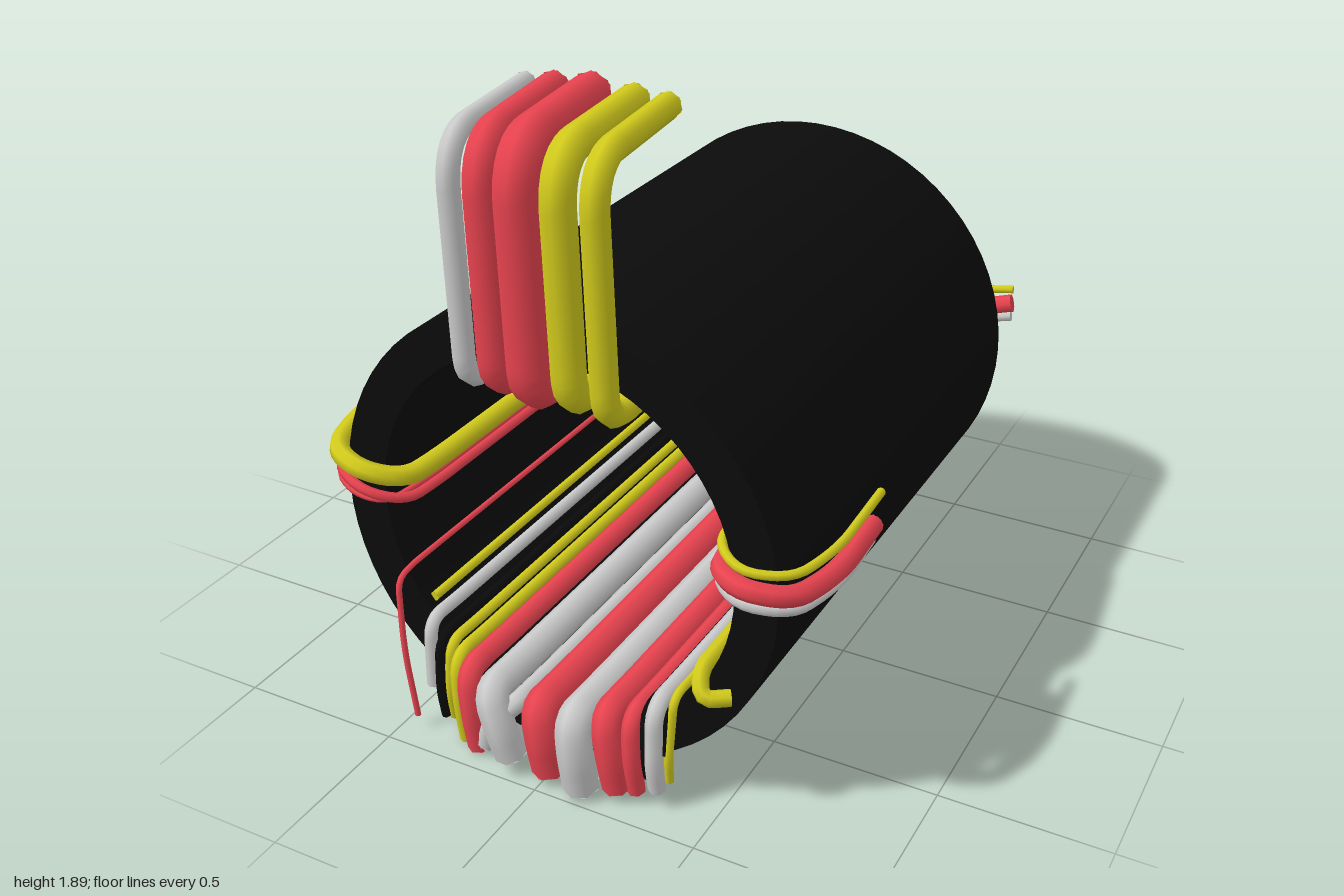
import * as THREE from 'three';
import { mergeGeometries } from 'three/addons/utils/BufferGeometryUtils.js';

const CX = -0.02, CY = 0.73, R_OUT = 0.675, R_IN = 0.55, Z_FRONT = 0.83, Z_BACK = -0.86;
const material = (color) => new THREE.MeshStandardMaterial({ color, side: THREE.DoubleSide });
const MATS = {
  black: material(0x0b0b0b),
  red: material(0xe8434f),
  yellow: material(0xd2cb1c),
  grey: material(0xcccccc),
};

// Straight runs joined by rounded corners
function roundedPath(points, bend) {
  const p = points.map((a) => new THREE.Vector3(...a));
  const path = new THREE.CurvePath();
  let from = p[0];
  for (let i = 1; i < p.length - 1; i++) {
    const toPrev = p[i - 1].clone().sub(p[i]), toNext = p[i + 1].clone().sub(p[i]);
    const d = Math.min(bend, toPrev.length() * 0.48, toNext.length() * 0.48);
    const a = p[i].clone().add(toPrev.setLength(d));
    const b = p[i].clone().add(toNext.setLength(d));
    path.add(new THREE.LineCurve3(from, a));
    path.add(new THREE.QuadraticBezierCurve3(a, p[i], b));
    from = b;
  }
  path.add(new THREE.LineCurve3(from, p[p.length - 1]));
  return path;
}

// Six-sided cable with closed ends
function cable(name, color, radius, points, bend = 0.12) {
  const path = roundedPath(points, bend);
  const parts = [new THREE.TubeGeometry(path, 100, radius, 7)];
  for (const [t, sign] of [[0, -1], [1, 1]]) {
    const dir = path.getTangentAt(t).multiplyScalar(sign);
    const cap = new THREE.CircleGeometry(radius, 7);
    cap.applyQuaternion(new THREE.Quaternion().setFromUnitVectors(new THREE.Vector3(0, 0, 1), dir));
    const end = path.getPointAt(t);
    cap.translate(end.x, end.y, end.z);
    parts.push(cap);
  }
  const mesh = new THREE.Mesh(mergeGeometries(parts), MATS[color]);
  mesh.name = name;
  return mesh;
}

// Height of a cable resting against the bore (side: 1 roof, -1 floor)
const boreY = (x, r, side) => CY + side * Math.sqrt((R_IN - r) ** 2 - (x - CX) ** 2);

function makePipe() {
  const ring = new THREE.Shape().absarc(0, 0, R_OUT, 0, Math.PI * 2);
  ring.holes.push(new THREE.Path().absarc(0, 0, R_IN, 0, Math.PI * 2, true));
  const geo = new THREE.ExtrudeGeometry(ring, { depth: Z_FRONT - Z_BACK, bevelEnabled: false, curveSegments: 32 });
  const pipe = new THREE.Mesh(geo, MATS.black);
  pipe.position.set(CX, CY, Z_BACK);
  pipe.name = 'pipe';
  return pipe;
}

// Cables that leave the roof of the bore, climb and fold back over the pipe
function makeRoofCables() {
  const group = new THREE.Group();
  group.name = 'roofCables';
  const rows = [ // color, radius, x outside, x at the mouth
    ['grey', 0.031, -0.315, -0.225], ['red', 0.046, -0.225, -0.13], ['red', 0.06, -0.11, -0.025],
    ['yellow', 0.047, 0.02, 0.092], ['yellow', 0.038, 0.12, 0.195],
  ];
  for (const [color, r, xTop, x] of rows) {
    const y = boreY(x, r, 1) - 0.02;
    group.add(cable('roofCable', color, r, [
      [xTop, 1.85, 0.41], [x - 0.02, 1.85, 0.885], [x, y - 0.01, 0.885], [x, y, 0.7], [x, y + 0.015, Z_BACK - 0.012],
    ], 0.14));
  }
  return group;
}

// Cables on the floor of the bore that droop over the front rim
function makeFloorCables() {
  const group = new THREE.Group();
  group.name = 'floorCables';
  const rows = [ // color, radius, x in the bore, x at the tip, y of the tip, z of the droop
    ['grey', 0.02, -0.41, -0.40, 0.17, 0.88], ['black', 0.014, -0.375, -0.37, 0.07, 0.89],
    ['yellow', 0.016, -0.35, -0.355, 0.06, 0.87], ['yellow', 0.02, -0.315, -0.295, 0.02, 0.90],
    ['red', 0.035, -0.26, -0.235, 0.03, 0.92], ['black', 0.02, -0.225, -0.20, 0.11, 0.87],
    ['grey', 0.048, -0.17, -0.105, 0.07, 0.95], ['grey', 0.03, -0.10, -0.20, 0.06, 0.93],
    ['red', 0.053, -0.02, 0.01, 0.05, 0.93], ['black', 0.018, 0.05, 0.055, 0.10, 0.88],
    ['grey', 0.053, 0.10, 0.12, 0.04, 0.945], ['red', 0.043, 0.18, 0.215, 0.05, 0.91],
    ['yellow', 0.013, 0.23, 0.255, 0.16, 0.88], ['red', 0.027, 0.255, 0.27, 0.05, 0.90],
    ['black', 0.02, 0.295, 0.30, 0.10, 0.88], ['grey', 0.026, 0.325, 0.33, 0.07, 0.89],
    ['yellow', 0.013, 0.365, 0.35, 0.08, 0.855], ['black', 0.012, 0.345, 0.34, 0.2, 0.86],
  ];
  for (const [color, r, x, xTip, yTip, z] of rows) {
    const y = boreY(x, r, -1);
    group.add(cable('floorCable', color, r, [
      [x, y, Z_BACK - 0.01], [x, y + 0.005, 0.75], [x, y + 0.01, z], [(x + xTip * 2) / 3, 0.16, z + 0.015], [xTip, yTip, z],
    ], 0.08));
  }
  return group;
}

// Cables that wrap out around both rims; side is the sign of x
function makeSideCables(name, side, rows) {
  const group = new THREE.Group();
  group.name = name;
  for (const [color, r, zStart, yOut, yRim, yIn, yBack] of rows) {
    const pts = [
      [0.735, yOut, zStart], [0.75, yOut + 0.005, 0.68], [0.71, (yOut + yRim) / 2, 0.86], [0.58, yRim, 0.91],
      [0.485, yIn, 0.84], [0.475, yIn, 0.7], [0.475, yIn, -0.84], [0.49, yIn, -0.95], [0.655, yBack, -0.975],
    ].map(([x, y, z]) => [side > 0 ? x : -x - 0.005, y, z]);
    group.add(cable('sideCable', color, r, pts, 0.09));
  }
  return group;
}

export function createModel() {
  const model = new THREE.Group();
  model.name = 'cablePipe';
  model.add(makePipe(), makeRoofCables(), makeFloorCables());
  // color, radius, start z, then y outside, at the rim, in the bore and at the back
  model.add(makeSideCables('leftCables', 1, [
    ['yellow', 0.013, 0.36, 0.845, 0.86, 0.88, 0.9],
    ['red', 0.03, 0.41, 0.77, 0.81, 0.805, 0.85],
    ['grey', 0.018, 0.43, 0.735, 0.765, 0.77, 0.805],
  ]));
  model.add(makeSideCables('rightCables', -1, [
    ['yellow', 0.03, 0.44, 0.865, 0.835, 0.80, 0.785],
    ['red', 0.015, 0.43, 0.83, 0.77, 0.73, 0.74],
  ]));

  // Loose single strands
  const loose = new THREE.Group();
  loose.name = 'looseStrands';
  loose.add(
    cable('thinRedStrand', 'red', 0.01, [
      [-0.75, 0.74, 0.44], [-0.75, 0.75, 0.82], [-0.65, 0.725, 0.87], [-0.53, 0.73, 0.87], [-0.50, 0.74, 0.7], [-0.5, 0.74, -0.8],
    ], 0.06),
    cable('hangingRedStrand', 'red', 0.009, [
      [-0.51, 0.5, -0.6], [-0.51, 0.5, 0.82], [-0.505, 0.49, 0.89], [-0.48, 0.28, 0.92], [-0.45, 0.06, 0.92],
    ], 0.08),
    cable('curledYellowStrand', 'yellow', 0.024, [
      [0.535, 0.425, 0.855], [0.47, 0.425, 0.9], [0.44, 0.475, 0.85], [0.445, 0.485, 0.7], [0.445, 0.49, Z_BACK - 0.01],
    ], 0.05),
    cable('wallYellowStrand', 'yellow', 0.016, [[0.40, 0.39, 0.8], [0.40, 0.39, Z_BACK - 0.01]]),
    cable('wallYellowStrand', 'yellow', 0.014, [[-0.45, 0.4, 0.8], [-0.45, 0.4, Z_BACK - 0.01]]),
  );
  model.add(loose);
  return model;
}
